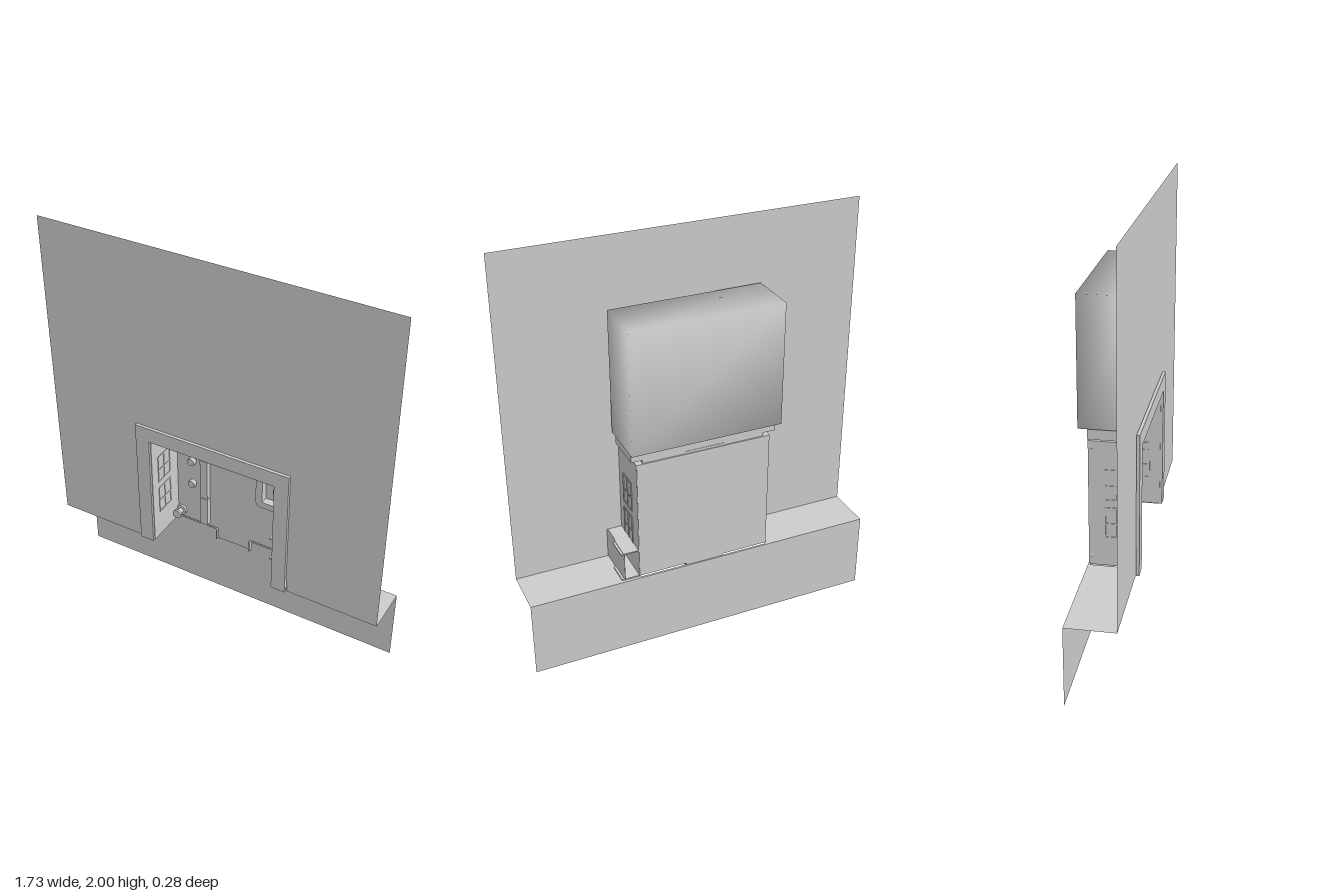
import * as THREE from 'three';
import { mergeVertices } from 'three/addons/utils/BufferGeometryUtils.js';

const grey = new THREE.MeshStandardMaterial({ color: 0xcccccc, side: THREE.DoubleSide });
grey.name = 'plain grey';

export function createModel() {
  const model = new THREE.Group();

  const add = (name, geometry, parent = model) => {
    const mesh = new THREE.Mesh(geometry, grey);
    mesh.name = name;
    parent.add(mesh);
    return mesh;
  };
  // Box given by its limits on each axis
  const box = (name, x0, x1, y0, y1, z0, z1, parent) => {
    const g = new THREE.BoxGeometry(x1 - x0, y1 - y0, z1 - z0);
    g.translate((x0 + x1) / 2, (y0 + y1) / 2, (z0 + z1) / 2);
    return add(name, g, parent);
  };
  const outline = (points) => new THREE.Shape(points.map(([x, y]) => new THREE.Vector2(x, y)));
  const plate = (name, shape, z, depth, parent) => {
    const g = new THREE.ExtrudeGeometry(shape, { depth, bevelEnabled: false, curveSegments: 8 });
    g.translate(0, 0, z);
    return add(name, g, parent);
  };
  // Blend normals over shared corners
  const soften = (mesh) => {
    const g = mesh.geometry;
    g.deleteAttribute('normal');
    g.deleteAttribute('uv');
    mesh.geometry = mergeVertices(g);
    mesh.geometry.computeVertexNormals();
  };
  // Inverted U, open at the bottom
  const arch = (xo, xi, y0, yo, yi) => outline([
    [-xo, y0], [-xo, yo], [xo, yo], [xo, y0], [xi, y0], [xi, yi], [-xi, yi], [-xi, y0]]);

  // Thin wall sheet: upper face, ledge around the box, lower face set back
  const W = 0.865, LEDGE = 0.385;
  add('upperWall', new THREE.ShapeGeometry(arch(W, 0.335, LEDGE, 2, 1.0))).position.z = 0.12;
  const ledge = new THREE.ShapeGeometry(arch(W, 0.33, -0.12, 0.11, 0.1));
  ledge.rotateX(-Math.PI / 2);
  add('ledge', ledge).position.y = LEDGE;
  const lower = new THREE.PlaneGeometry(2 * W, LEDGE);
  lower.translate(0, LEDGE / 2, -0.11);
  add('lowerWall', lower);

  // Flange framing the opening
  plate('flange', arch(0.4, 0.328, 0.388, 1.07, 0.995), 0.122, 0.015);

  // Recessed box: back with hanging tab, sides, top
  const housing = new THREE.Group();
  housing.name = 'housing';
  model.add(housing);
  plate('backPanel', outline([
    [-0.33, 0.395], [-0.1, 0.395], [-0.1, 0.335], [0.092, 0.335], [0.092, 0.395],
    [0.33, 0.395], [0.33, 1.0], [-0.33, 1.0]]), -0.104, 0.006, housing);
  for (const x of [-0.1, 0.085]) box('tabLip', x, x + 0.007, 0.335, 0.395, -0.1, -0.083, housing);
  box('topPanel', -0.33, 0.33, 0.994, 1.0, -0.1, 0.125, housing);
  box('topPlate', -0.1, 0.09, 0.988, 1.012, -0.1, 0.04, housing);

  for (const s of [-1, 1]) {
    box('sidePanel', s * 0.328 - 0.003, s * 0.328 + 0.003, 0.39, 1.0, -0.1, 0.125, housing);
    // Knockout windows: thin frame with four panes, on both faces
    for (const y of [0.79, 0.605]) {
      for (const x of [s * 0.332, s * 0.324]) {
        for (const z of [-0.03, 0.02, 0.07]) {
          box('knockoutUpright', x - 0.002, x + 0.002, y - 0.075, y + 0.075, z - 0.004, z + 0.004, housing);
        }
        for (const dy of [-0.073, -0.005, 0.073]) {
          box('knockoutBar', x - 0.002, x + 0.002, y + dy - 0.004, y + dy + 0.004, -0.03, 0.07, housing);
        }
      }
    }
  }

  // Segmented upright rail
  [[0.415, 0.578], [0.582, 0.808], [0.812, 0.98]].forEach(([a, b]) =>
    box('rail', -0.18, -0.14, a, b, -0.1, -0.07, housing));

  // L-shaped divider with a rounded corner
  const el = outline([[0.133, 0.99], [0.133, 0.695]]);
  el.quadraticCurveTo(0.133, 0.664, 0.165, 0.664);
  el.lineTo(0.322, 0.664);
  el.lineTo(0.322, 0.698);
  el.lineTo(0.168, 0.698);
  el.lineTo(0.168, 0.99);
  plate('divider', el, -0.1, 0.04, housing);

  // Hex bolts on the back panel
  for (const [x, y] of [[-0.235, 0.77], [-0.235, 0.635], [0.235, 0.77]]) {
    const g = new THREE.CylinderGeometry(0.021, 0.021, 0.025, 6);
    g.rotateX(Math.PI / 2);
    g.translate(x, y, -0.087);
    add('hexBolt', g, housing);
  }
  // Corner screws with washers
  for (const y of [0.97, 0.435]) {
    [[0.028, 0.012, -0.092], [0.014, 0.04, -0.075], [0.024, 0.012, -0.052]].forEach(([r, h, z]) => {
      const g = new THREE.CylinderGeometry(r, r, h, 16);
      g.rotateX(Math.PI / 2);
      g.translate(-0.305, y, z);
      add('cornerScrew', g, housing);
    });
  }

  // Clamp inside the lower corner
  for (const y of [0.4, 0.525]) box('clampPlate', 0.235, 0.325, y, y + 0.01, -0.098, -0.02, housing);
  for (const x of [0.25, 0.3]) box('clampPost', x, x + 0.008, 0.41, 0.525, -0.098, -0.03, housing);

  // Side channel outside the box, open at the back
  const channel = new THREE.Group();
  channel.name = 'sideChannel';
  model.add(channel);
  box('channelTop', 0.33, 0.405, 0.532, 0.538, -0.1, 0.12, channel);
  box('channelBottom', 0.33, 0.405, 0.389, 0.395, -0.1, 0.12, channel);
  soften(box('channelSide', 0.4, 0.406, 0.389, 0.538, -0.1, 0.12, channel));
  for (const y of [0.39, 0.531]) box('channelLip', 0.406, 0.418, y, y + 0.006, -0.1, 0.01, channel);

  // Hood above with softly blended shading, and its stepped collar
  soften(box('hood', -0.37, 0.365, 1.07, 1.67, -0.14, 0.105));
  box('collar', -0.36, 0.355, 1.018, 1.07, -0.1, 0.09);
  box('collarNeck', -0.3, 0.3, 1.0, 1.018, -0.098, 0.04);

  return model;
}
